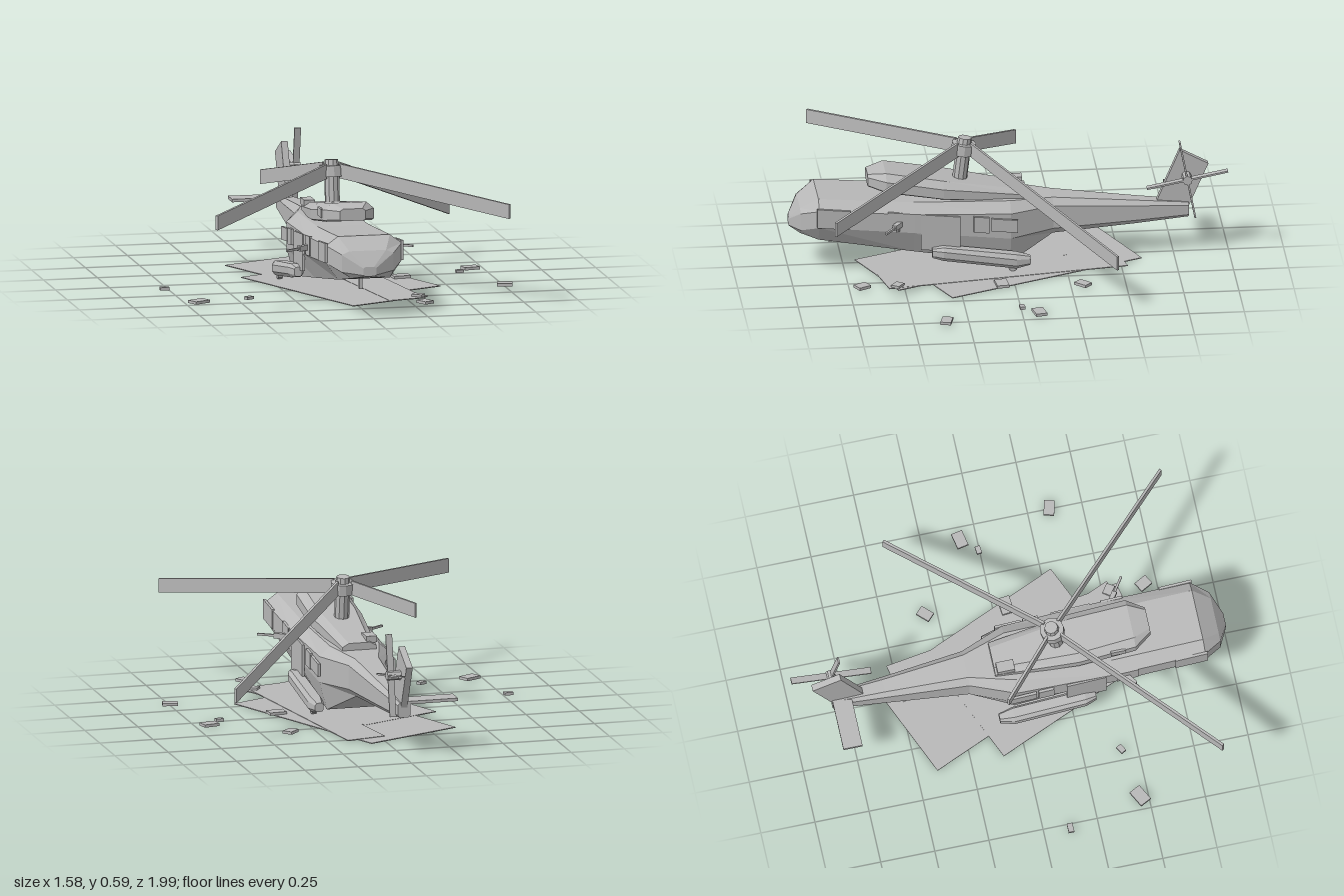
import * as THREE from 'three';

export function createModel() {
  const grey = new THREE.MeshStandardMaterial({ color: 0xb8b8b8, flatShading: true });
  grey.name = 'plain grey';
  const root = new THREE.Group();
  root.name = 'helicopterWreck';
  const craft = new THREE.Group();
  craft.name = 'helicopter';
  craft.position.x = -0.017;
  root.add(craft);

  const add = (name, geo, parent = craft, x = 0, y = 0, z = 0) => {
    const m = new THREE.Mesh(geo, grey);
    m.name = name;
    m.position.set(x, y, z);
    parent.add(m);
    return m;
  };
  const box = (name, size, pos, parent = craft) => add(name, new THREE.BoxGeometry(...size), parent, ...pos);

  // Eight-sided loft; station = z, bottom, low, high, top heights, bottom, middle, top half widths
  const loft = (stations) => {
    const rings = stations.map(([z, yb, yl, yh, yt, wb, wm, wt]) => {
      const half = [[wb, yb], [wm, yl], [wm, yh], [wt, yt]];
      return [...half, ...half.slice().reverse().map(([x, y]) => [-x, y])].map(([x, y]) => [x, y, z]);
    });
    const p = [];
    const tri = (a, b, c) => p.push(...a, ...b, ...c);
    for (let i = 0; i < rings.length - 1; i++) {
      for (let j = 0; j < 8; j++) {
        const k = (j + 1) % 8, f = rings[i], r = rings[i + 1];
        tri(f[j], r[j], f[k]);
        tri(f[k], r[j], r[k]);
      }
    }
    const first = rings[0], last = rings[rings.length - 1];
    for (let j = 1; j < 7; j++) {
      tri(first[0], first[j], first[j + 1]);
      tri(last[0], last[j + 1], last[j]);
    }
    const g = new THREE.BufferGeometry();
    g.setAttribute('position', new THREE.Float32BufferAttribute(p, 3));
    g.computeVertexNormals();
    return g;
  };

  // Fuselage and tail boom
  add('fuselage', loft([
    [0.995, 0.195, 0.2, 0.232, 0.238, 0.02, 0.03, 0.02],
    [0.95, 0.18, 0.21, 0.29, 0.305, 0.075, 0.12, 0.085],
    [0.87, 0.162, 0.24, 0.32, 0.36, 0.12, 0.175, 0.12],
    [0.44, 0.092, 0.2, 0.29, 0.327, 0.13, 0.178, 0.12],
    [0.0, 0.022, 0.15, 0.27, 0.315, 0.13, 0.165, 0.115],
    [-0.2, 0.125, 0.16, 0.27, 0.3, 0.05, 0.085, 0.055],
    [-0.58, 0.148, 0.17, 0.24, 0.26, 0.03, 0.05, 0.03],
    [-0.82, 0.168, 0.18, 0.225, 0.237, 0.02, 0.03, 0.02],
  ]));

  // Engine cover rising forward above the roof
  add('engineCover', loft([
    [0.64, 0.385, 0.392, 0.43, 0.44, 0.05, 0.06, 0.045],
    [0.56, 0.37, 0.377, 0.425, 0.455, 0.105, 0.115, 0.08],
    [0.3, 0.33, 0.335, 0.38, 0.41, 0.11, 0.118, 0.085],
    [-0.08, 0.29, 0.295, 0.325, 0.342, 0.065, 0.08, 0.05],
  ]));
  box('coverVent', [0.01, 0.04, 0.07], [-0.115, 0.4, 0.48]);
  box('exhaustBox', [0.05, 0.03, 0.08], [-0.06, 0.352, -0.03]);

  // Rotor mast and hub
  const hub = new THREE.Group();
  hub.name = 'rotorHub';
  hub.position.set(0, 0.535, 0.2);
  hub.rotation.x = -0.12;
  craft.add(hub);
  add('mast', new THREE.CylinderGeometry(0.034, 0.034, 0.15, 10), hub, 0, -0.08, 0);
  add('hubRing', new THREE.CylinderGeometry(0.055, 0.055, 0.05, 12), hub);
  add('hubCap', new THREE.CylinderGeometry(0.03, 0.034, 0.03, 10), hub, 0, 0.036, 0);

  // Main blades: upright plates sheared along their droop; tip x, z and height
  [[-0.675, 0.845, 0.44], [0.68, 0.845, 0.437], [0.683, -0.435, 0.224], [-0.27, -0.06, 0.47]]
    .forEach(([tx, tz, ty]) => {
      const dx = tx, dz = tz - 0.2, len = Math.hypot(dx, dz), start = 0.045;
      const g = new THREE.BoxGeometry(len - start, 0.066, 0.012);
      g.translate((len + start) / 2, 0, 0);
      const p = g.attributes.position;
      for (let i = 0; i < p.count; i++) {
        p.setY(i, p.getY(i) + 0.538 + (ty - 0.538) * (p.getX(i) - start) / (len - start));
      }
      g.computeVertexNormals();
      add('mainBlade', g, craft, 0, 0, 0.2).rotation.y = Math.atan2(-dz, dx);
    });

  // Fin and the single stabiliser
  const finShape = new THREE.Shape([[0.67, 0.235], [0.82, 0.215], [0.91, 0.42], [0.78, 0.49]]
    .map(([a, b]) => new THREE.Vector2(a, b)));
  const fin = new THREE.ExtrudeGeometry(finShape, { depth: 0.03, bevelEnabled: false });
  fin.translate(0, 0, -0.015);
  add('tailFin', fin).rotation.y = Math.PI / 2;
  box('stabiliser', [0.24, 0.014, 0.088], [-0.133, 0.235, -0.775]);

  // Tail rotor
  const tail = new THREE.Group();
  tail.name = 'tailRotor';
  tail.position.set(0.06, 0.365, -0.81);
  tail.rotation.x = 0.19;
  craft.add(tail);
  add('tailRotorHub', new THREE.CylinderGeometry(0.022, 0.022, 0.075, 8), tail, -0.018, 0, 0).rotation.z = Math.PI / 2;
  for (let i = 0; i < 4; i++) {
    const g = new THREE.BoxGeometry(0.03, 0.175, 0.008);
    g.translate(0, 0.1, 0);
    add('tailBlade', g, tail).rotation.x = i * Math.PI / 2;
  }

  // Nose strut
  box('noseStrut', [0.015, 0.065, 0.015], [0, 0.135, 0.805]);

  // Matching parts on both sides
  const sponson = loft([
    [0.36, 0.085, 0.095, 0.12, 0.128, 0.012, 0.018, 0.012],
    [0.31, 0.073, 0.09, 0.12, 0.136, 0.022, 0.036, 0.022],
    [-0.02, 0.023, 0.04, 0.07, 0.09, 0.022, 0.036, 0.022],
    [-0.085, 0.035, 0.043, 0.065, 0.075, 0.012, 0.02, 0.012],
  ]);
  // Side panels: name, z from, z to, low edge, high edge at the rear end, pitched with the hull
  const panels = [
    ['cockpitPanel', 0.73, 0.88, 0.235, 0.325], ['cabinPanel', 0.46, 0.56, 0.21, 0.3],
    ['slidingDoor', 0.23, 0.41, 0.11, 0.28], ['rearWindow', 0.1, 0.17, 0.19, 0.265],
    ['rearPanel', -0.03, 0.09, 0.19, 0.25],
  ];
  for (const s of [-1, 1]) {
    add('sponson', sponson, craft, s * 0.19, 0, 0);
    box('wheelLeg', [0.02, 0.05, 0.02], [s * 0.195, 0.045, 0]);
    const wheel = add('wheel', new THREE.CylinderGeometry(0.022, 0.022, 0.022, 10), craft, s * 0.195, 0.03, -0.005);
    wheel.rotation.z = Math.PI / 2;
    for (const [name, z0, z1, y0, y1] of panels) {
      const g = new THREE.BoxGeometry(0.012, y1 - y0, z1 - z0);
      const p = g.attributes.position;
      for (let i = 0; i < p.count; i++) p.setY(i, p.getY(i) + 0.1 * p.getZ(i));
      g.computeVertexNormals();
      add(name, g, craft, s * 0.176, (y0 + y1) / 2, (z0 + z1) / 2);
    }
    // Side gun
    const gun = new THREE.Group();
    gun.name = 'sideGun';
    gun.position.set(s * 0.18, 0.247, 0.505);
    gun.rotation.y = s * 0.98;
    craft.add(gun);
    box('gunBody', [0.022, 0.024, 0.06], [0, 0, 0.025], gun);
    box('gunBarrel', [0.01, 0.01, 0.12], [0, 0, 0.075], gun);
    box('gunMount', [0.012, 0.035, 0.012], [0, -0.012, 0.02], gun);
  }

  // Ground slabs: corner outlines as x, z
  const slabs = [
    [[-0.375, -0.407], [0.074, -0.6], [0.466, 0.296], [0.016, 0.492]],
    [[-0.37, -0.1], [0.01, -0.265], [0.355, 0.53], [-0.026, 0.693]],
    [[-0.02, -0.49], [0.164, -0.528], [0.335, 0.57], [0.16, 0.61]],
  ];
  slabs.forEach((pts, i) => {
    const shape = new THREE.Shape(pts.map(([x, z]) => new THREE.Vector2(x, -z)));
    const g = new THREE.ExtrudeGeometry(shape, { depth: 0.004, bevelEnabled: false });
    add('groundSlab', g, root, 0, i * 0.001, 0).rotation.x = -Math.PI / 2;
  });

  // Scattered debris: x, z, width, depth, turn
  [
    [-0.773, 0.122, 0.042, 0.026, 0], [-0.688, 0.462, 0.082, 0.056, 0.48],
    [-0.45, 0.425, 0.038, 0.026, 0.5], [0.307, 0.69, 0.05, 0.062, 0.5],
    [0.751, 0.35, 0.07, 0.048, -0.25], [0.62, -0.005, 0.036, 0.024, 0.1],
    [0.686, -0.077, 0.075, 0.052, 0.2], [0.334, 0.06, 0.08, 0.056, 0.1],
    [0.37, -0.305, 0.066, 0.046, 0.8], [0.31, 0.53, 0.05, 0.04, -0.6],
  ].forEach(([x, z, w, d, turn]) => {
    box('debris', [w, 0.013, d], [x, 0.0095, z], root).rotation.y = turn;
  });
  return root;
}
